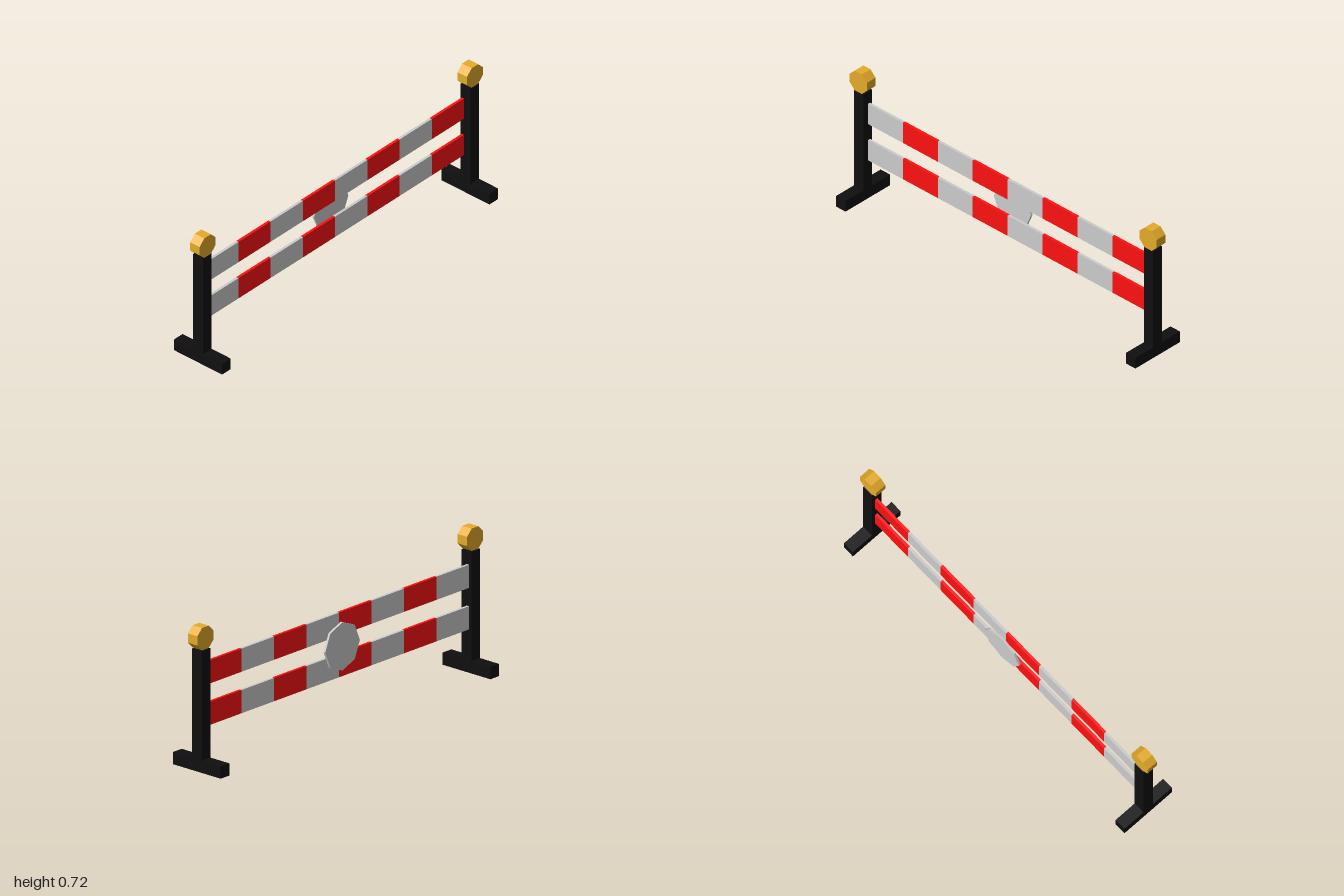
import * as THREE from 'three';

const mat = (color) => new THREE.MeshStandardMaterial({ color, flatShading: true });

function add(parent, name, geometry, material, x, y, z) {
  const mesh = new THREE.Mesh(geometry, material);
  mesh.name = name;
  mesh.position.set(x, y, z);
  parent.add(mesh);
  return mesh;
}

// Eight-sided disc with its axis along x
function octagon(radius, thickness, turn) {
  return new THREE.CylinderGeometry(radius, radius, thickness, 8).rotateY(turn).rotateZ(Math.PI / 2);
}

export function createModel() {
  const model = new THREE.Group();
  model.name = 'roadBarrier';
  const black = mat(0x0f0f0f);
  const amber = mat(0xe5ab2a);
  const red = mat(0xff1111);
  const grey = mat(0xcccccc);

  // End supports: foot, post and warning lamp
  for (const side of [1, -1]) {
    const support = new THREE.Group();
    support.name = side > 0 ? 'frontSupport' : 'backSupport';
    support.position.z = side * 0.944;
    add(support, 'foot', new THREE.BoxGeometry(0.304, 0.061, 0.061), black, 0, 0.0305, 0);
    add(support, 'post', new THREE.BoxGeometry(0.061, 0.547, 0.061), black, 0, 0.3345, 0);
    add(support, 'lamp', octagon(0.0606, 0.06, Math.PI / 8), amber, 0.003, 0.666, 0);
    model.add(support);
  }

  // Two striped rails, alternating grey and red from the front end
  const count = 8, start = 0.914, length = 1.82 / count;
  for (const [name, y] of [['upperRail', 0.4825], ['lowerRail', 0.275]]) {
    const rail = new THREE.Group();
    rail.name = name;
    for (let i = 0; i < count; i++) {
      add(rail, i % 2 ? 'redStripe' : 'greyStripe', new THREE.BoxGeometry(0.014, 0.116, length),
        i % 2 ? red : grey, -0.009, y, start - (i + 0.5) * length);
    }
    model.add(rail);
  }

  // Octagonal sign plate beside the rails
  add(model, 'signPlate', octagon(0.121, 0.012, 0), grey, -0.036, 0.379, 0);

  return model;
}
